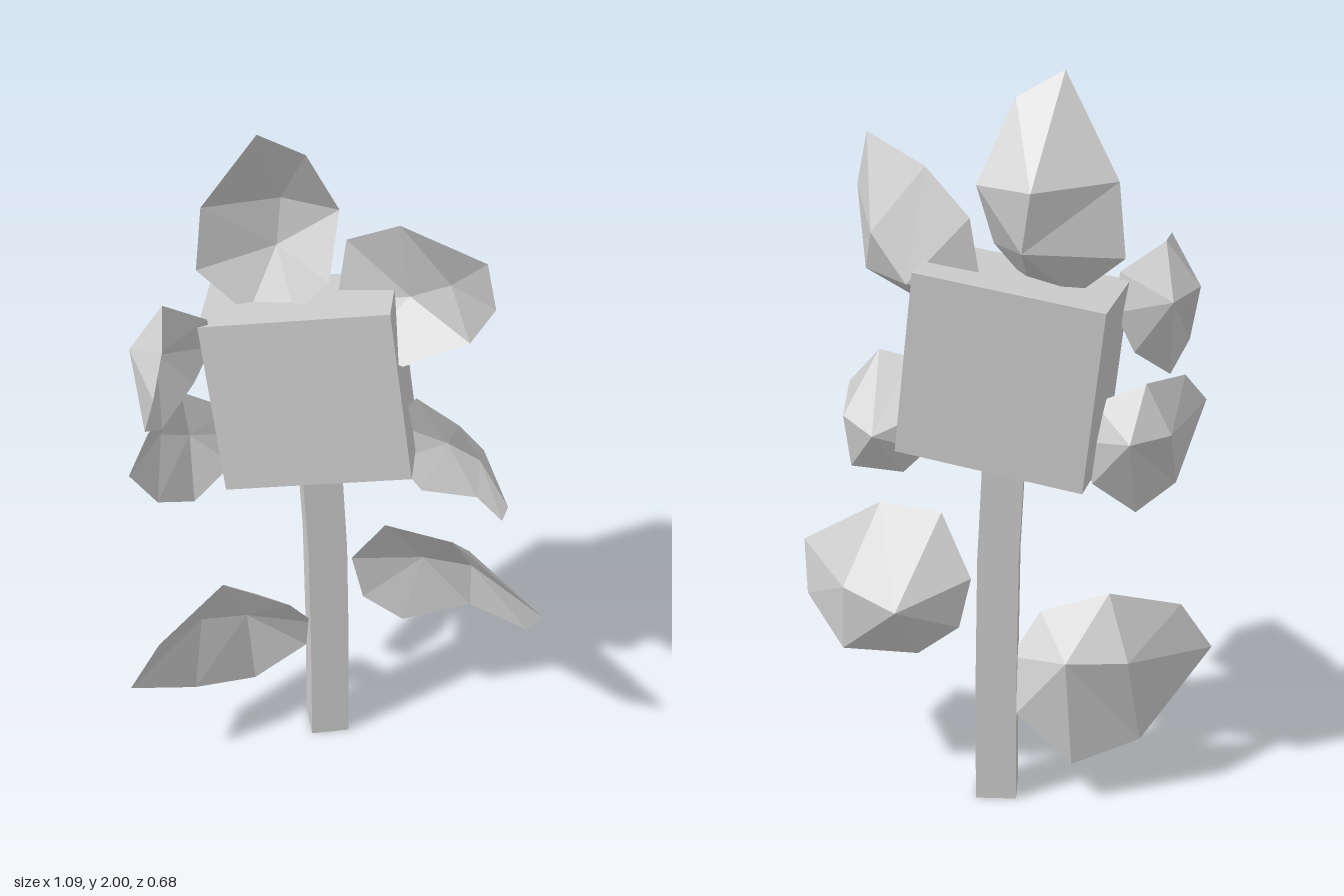
import * as THREE from 'three';

const V = (p) => new THREE.Vector3(...p);
const material = new THREE.MeshStandardMaterial({ color: 0xcccccc, flatShading: true, side: THREE.DoubleSide });
const LEAF_LENGTH = 0.57;

// One cupped leaf: base at the origin, tip along +y, hollow side facing +z
function leafGeometry() {
  const points = [
    [0.08, 0.02, -0.045], [0.165, 0.12, -0.075], [0.165, 0.29, -0.17], [0.11, 0.5, -0.06], // right rim
    [0, LEAF_LENGTH, 0],                                                                   // tip
    [-0.17, 0.31, -0.03], [-0.19, 0.115, -0.03], [-0.05, 0, -0.04],                        // left rim
    [0, 0.17, -0.14], [0.01, 0.31, -0.15],                                                 // inner spine
    [0.03, 0.13, -0.18], [0, 0.29, -0.19],                                                 // outer spine
  ];
  const index = [];
  const skin = (lo, hi, flip) => {
    const tri = (a, b, c) => index.push(a, ...(flip ? [c, b] : [b, c]));
    for (let i = 0; i < 8; i++) tri(i >= 2 && i <= 4 ? hi : lo, i, (i + 1) % 8);
    tri(lo, 2, hi);
    tri(hi, 5, lo);
  };
  skin(8, 9, false);
  skin(10, 11, true);
  const g = new THREE.BufferGeometry();
  g.setAttribute('position', new THREE.Float32BufferAttribute(points.flat(), 3));
  g.setIndex(index);
  g.computeVertexNormals();
  return g;
}

// Places a leaf from its base to its tip, hollow side turned towards `facing`
function addLeaf(group, geometry, name, base, tip, facing, width, depth) {
  const along = V(tip).sub(V(base));
  const length = along.length() / LEAF_LENGTH;
  along.normalize();
  const out = V(facing);
  out.addScaledVector(along, -out.dot(along)).normalize();
  const side = along.clone().cross(out);
  const mesh = new THREE.Mesh(geometry, material);
  mesh.name = name;
  mesh.quaternion.setFromRotationMatrix(new THREE.Matrix4().makeBasis(side, along, out));
  mesh.position.set(...base);
  mesh.scale.set(width, length, depth);
  group.add(mesh);
}

export function createModel() {
  const model = new THREE.Group();
  model.name = 'flower';

  // Square stem, leaning slightly above its bend
  const stemGeometry = new THREE.BoxGeometry(0.11, 1.05, 0.118, 1, 3, 1).translate(0, 0.525, 0);
  const p = stemGeometry.attributes.position;
  for (let i = 0; i < p.count; i++) {
    const y = p.getY(i);
    if (y > 0.6) p.setX(i, p.getX(i) - (y - 0.6) * 0.05);
  }
  stemGeometry.computeVertexNormals();
  const stem = new THREE.Mesh(stemGeometry, material);
  stem.name = 'stem';
  stem.position.set(-0.095, 0, -0.15);
  stem.rotation.y = 0.46;
  model.add(stem);

  // Tilted square head
  const across = V([0.51, 0.07, -0.12]).normalize();
  const up = V([-0.06, 0.5, -0.03]);
  up.addScaledVector(across, -up.dot(across)).normalize();
  const head = new THREE.Mesh(new THREE.BoxGeometry(0.51, 0.505, 0.25), material);
  head.name = 'head';
  head.quaternion.setFromRotationMatrix(new THREE.Matrix4().makeBasis(across, up, across.clone().cross(up)));
  head.position.set(-0.137, 1.227, -0.15);
  model.add(head);

  // Petals around the head and two leaves on the stem: base, tip, facing, width, depth
  const leaf = leafGeometry();
  const placements = [
    ['topPetal', [-0.25, 1.43, -0.08], [-0.25, 2, -0.08], [0, 0, 1], 1, 0.95],
    ['upperLeftPetal', [-0.075, 1.42, -0.16], [0.37, 1.77, -0.03], [-0.45, 0.28, 1], 1.02, 0.92],
    ['lowerLeftPetal', [0.06, 1.045, -0.18], [0.46, 1.05, 0], [-0.5, 0.05, 0.9], 0.9, 0.85],
    ['upperRightPetal', [-0.36, 1.29, 0], [-0.39, 1.44, 0.34], [1, -0.4, 0.2], 0.92, 0.95],
    ['lowerRightPetal', [-0.31, 0.96, -0.09], [-0.52, 1.09, 0.23], [0.9, -0.33, 0.5], 0.9, 0.85],
    ['leftLeaf', [-0.025, 0.56, -0.13], [0.55, 0.6, -0.11], [0, -0.05, 1], 1.12, 1.15],
    ['rightLeaf', [-0.12, 0.285, -0.13], [-0.54, 0.36, 0.27], [0.7, -0.55, 0.7], 1.18, 1.05],
  ];
  for (const placement of placements) addLeaf(model, leaf, ...placement);

  return model;
}
